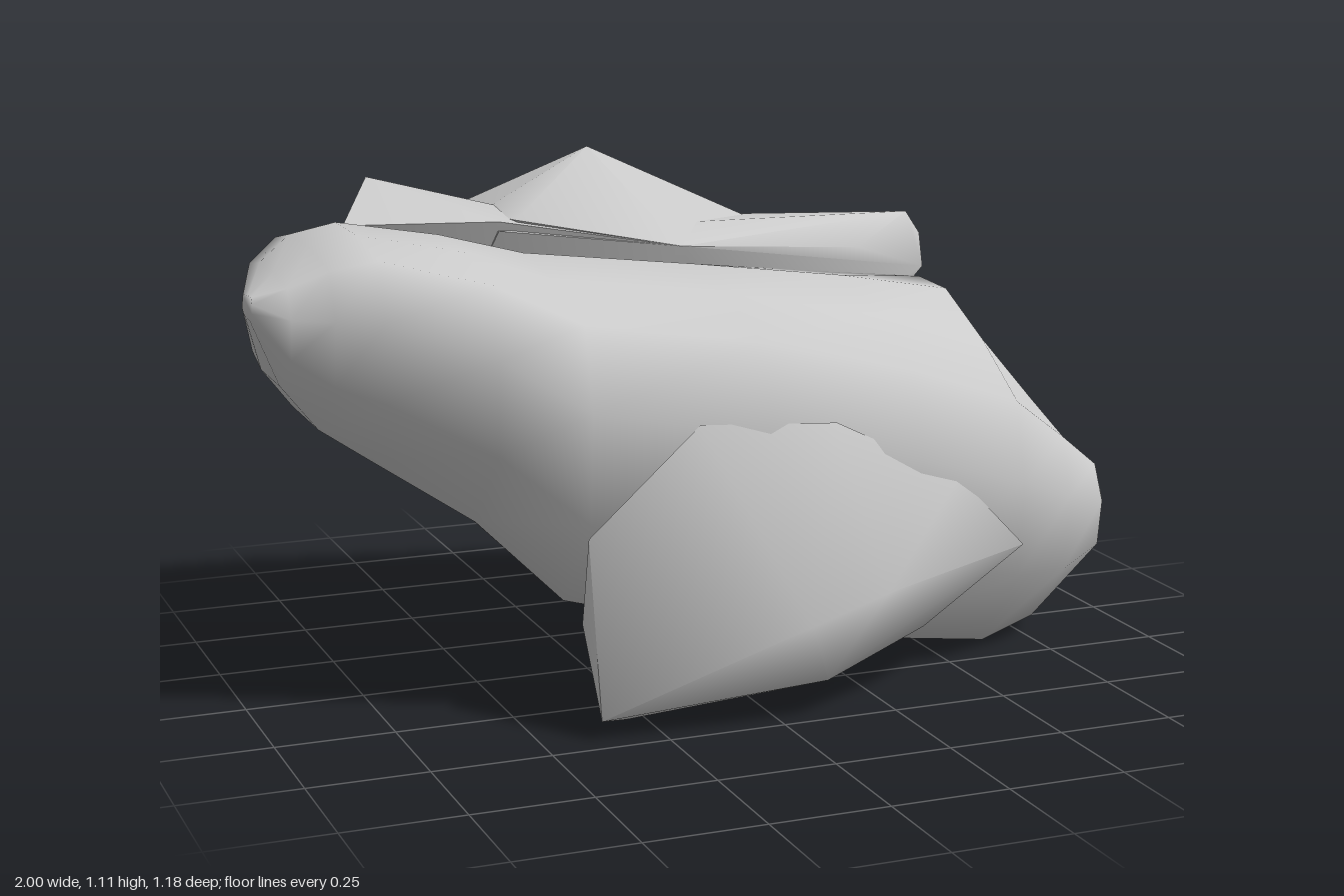
import * as THREE from 'three';
import { ConvexGeometry } from 'three/addons/geometries/ConvexGeometry.js';
import { toCreasedNormals } from 'three/addons/utils/BufferGeometryUtils.js';

const material = new THREE.MeshStandardMaterial({ color: 0xcccccc });

// Rounded unit cross-section: u runs back to front, v bottom to top
const PROFILE = [
  [0.11, 0.95], [0.34, 1], [0.64, 0.97], [0.93, 0.89], [1, 0.64],
  [0.97, 0.3], [0.7, 0], [0.3, 0.01], [0.11, 0.12], [0, 0.36],
];

// Slab stations: x, back z, front z, bottom y, top y at back, top y at front
const STATIONS = [
  [-1, 0.1, 0.19, 0.85, 0.89, 0.905],
  [-0.93, -0.18, 0.22, 0.7, 0.92, 0.94],
  [-0.85, -0.3, 0.25, 0.6, 0.96, 0.99],
  [-0.76, -0.28, 0.29, 0.54, 0.98, 1.02],
  [-0.55, -0.27, 0.36, 0.4, 0.95, 0.98],
  [-0.37, -0.26, 0.39, 0.22, 0.92, 0.9],
  [0, -0.25, 0.42, 0.12, 0.88, 0.85],
  [0.35, -0.24, 0.4, 0.06, 0.86, 0.75],
  [0.62, -0.24, 0.35, 0.015, 0.84, 0.64],
  [0.77, -0.25, 0.28, 0.04, 0.59, 0.53],
  [0.88, -0.29, 0.23, 0.13, 0.45, 0.43],
  [0.95, -0.27, 0.1, 0.21, 0.38, 0.37],
  [1, -0.13, -0.04, 0.28, 0.335, 0.34],
];

// Skin the stations into one closed, smooth body
function loft() {
  const { lerp } = THREE.MathUtils;
  const n = PROFILE.length, last = STATIONS.length - 1;
  const positions = [], index = [];
  for (const [x, back, front, bottom, topBack, topFront] of STATIONS) {
    for (const [u, v] of PROFILE) {
      positions.push(x, lerp(bottom, lerp(topBack, topFront, u), v), lerp(back, front, u));
    }
  }
  for (let i = 0; i < last; i++) {
    for (let k = 0; k < n; k++) {
      const a = i * n + k, b = i * n + (k + 1) % n;
      index.push(a, b, a + n, b, b + n, a + n);
    }
  }
  // End caps
  for (let k = 1; k < n - 1; k++) {
    index.push(0, k + 1, k, last * n, last * n + k, last * n + k + 1);
  }
  const geometry = new THREE.BufferGeometry();
  geometry.setAttribute('position', new THREE.Float32BufferAttribute(positions, 3));
  geometry.setIndex(index);
  geometry.computeVertexNormals();
  return geometry;
}

// Lump wrapped around its corner points, softened except at sharp edges
function lump(corners) {
  const hull = new ConvexGeometry(corners.map((p) => new THREE.Vector3(...p)));
  return toCreasedNormals(hull, 1.05);
}

export function createModel() {
  const group = new THREE.Group();
  group.name = 'rock';
  const add = (name, geometry) => {
    const mesh = new THREE.Mesh(geometry, material);
    mesh.name = name;
    group.add(mesh);
  };

  add('mainSlab', loft());

  // Ledge leaning off the upper back
  add('backLedge', lump([
    [-0.4, 0.91, -0.575], [-0.4, 0.78, -0.59], [-0.2, 0.88, -0.57], [0.49, 0.82, -0.43],
    [0.2, 0.93, -0.28], [0.61, 0.92, -0.23], [0.6, 0.88, -0.31], [0.64, 0.87, -0.22],
    [0.63, 0.8, -0.18], [0.45, 0.86, -0.14], [0, 0.9, -0.07], [-0.4, 0.95, -0.11],
    [0.57, 0.7, -0.23], [0.2, 0.54, -0.25], [0, 0.54, -0.34], [-0.25, 0.52, -0.24],
    [-0.5, 0.64, -0.27], [-0.2, 0.67, -0.47], [0.2, 0.67, -0.42],
  ]));

  // Blunt spur at the ledge's right end
  add('ledgeSpur', lump([
    [-0.62, 1.045, -0.36], [-0.56, 1.01, -0.48], [-0.61, 0.93, -0.49], [-0.58, 0.82, -0.48],
    [-0.44, 0.96, -0.54], [-0.4, 0.91, -0.575], [-0.4, 0.78, -0.59], [-0.36, 0.97, -0.4],
    [-0.72, 0.97, -0.18], [-0.4, 0.97, -0.11], [0, 0.9, -0.07], [-0.55, 0.66, -0.25],
    [-0.7, 0.8, -0.25],
  ]));

  // Peak rising from the middle of the ledge
  add('ledgePeak', lump([
    [-0.16, 1.105, -0.23], [-0.4, 0.97, -0.25], [-0.36, 0.97, -0.12], [0, 0.9, -0.07],
    [0.23, 0.925, -0.26], [-0.12, 1.01, -0.42], [-0.2, 0.9, -0.57], [-0.4, 0.93, -0.55],
    [-0.1, 0.7, -0.25],
  ]));

  // Foot swelling out of the lower front
  add('frontFoot', lump([
    [0.02, 0.23, 0.59], [-0.38, 0.04, 0.455], [-0.39, 0.22, 0.37], [-0.29, 0, 0.35],
    [0.1, 0.08, 0.49], [0, 0.42, 0.48], [-0.38, 0.4, 0.385], [-0.15, 0.62, 0.41],
    [0.15, 0.6, 0.41], [0.45, 0.45, 0.375], [0.34, 0.12, 0.3], [0.62, 0.28, 0.35],
    [0.22, 0.26, 0.52], [0.36, 0.14, 0.4], [-0.2, 0.3, 0.2],
  ]));

  return group;
}
